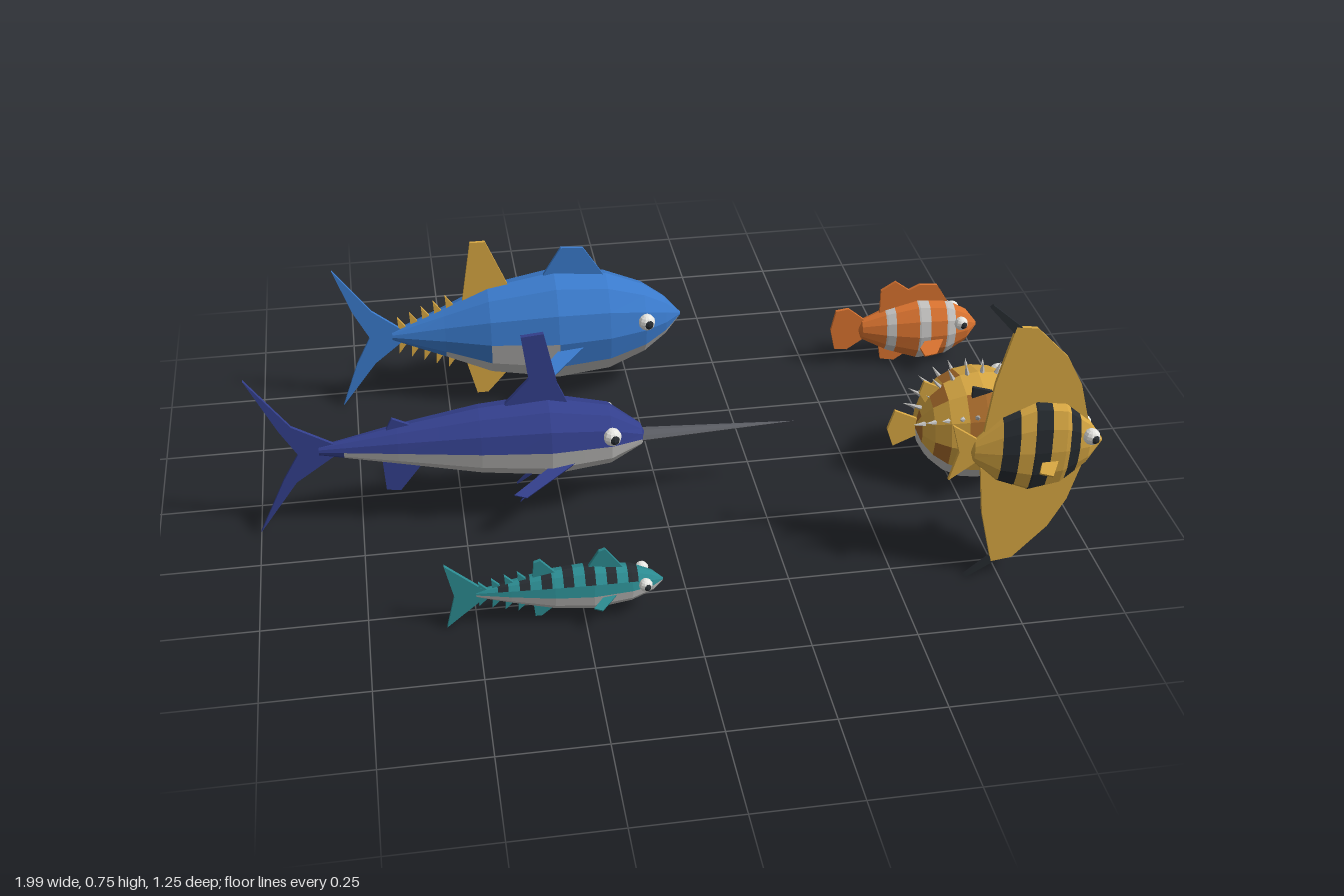
import * as THREE from 'three';

const mat = (name, color) => Object.assign(new THREE.MeshStandardMaterial({ color, flatShading: true }), { name });
const C = {
  navy: mat('navy', 0x333f8c), blue: mat('blue', 0x3a7acb), teal: mat('teal', 0x2b8a90),
  gold: mat('gold', 0xd6a642), orange: mat('orange', 0xd8722f), silver: mat('silver', 0xbfbebc),
  white: mat('white', 0xeeeeea), dark: mat('dark', 0x262b30), brown: mat('brown', 0xa4682a),
  steel: mat('steel', 0x5c5e64),
};
const SIDES = 12;

// Profile rows are [x, centreY, halfHeight, halfWidth]
function section(prof, x) {
  let i = 0;
  while (i < prof.length - 2 && prof[i + 1][0] < x) i++;
  const a = prof[i], b = prof[i + 1], t = (x - a[0]) / (b[0] - a[0]);
  return a.map((v, k) => v + (b[k] - v) * t);
}

// Faceted body; colourOf(x, elevation, i, j) picks the material of each facet
function body(prof, colourOf, cuts = []) {
  const xs = [...new Set([...prof.map(p => p[0]), ...cuts])].sort((a, b) => a - b);
  const rings = xs.map(x => {
    const [, cy, ry, rz] = section(prof, x);
    return Array.from({ length: SIDES + 1 }, (_, j) => {
      const t = j / SIDES * Math.PI * 2;
      return [x, cy + ry * Math.sin(t), rz * Math.cos(t)];
    });
  });
  const bins = new Map();
  for (let i = 0; i < xs.length - 1; i++) for (let j = 0; j < SIDES; j++) {
    const elev = Math.asin(Math.sin((j + 0.5) / SIDES * Math.PI * 2)) * 180 / Math.PI;
    const m = colourOf((xs[i] + xs[i + 1]) / 2, elev, i, j);
    if (!bins.has(m)) bins.set(m, []);
    const a = rings[i][j], b = rings[i + 1][j], c = rings[i + 1][j + 1], d = rings[i][j + 1];
    bins.get(m).push(...a, ...b, ...c, ...a, ...c, ...d);
  }
  const geo = new THREE.BufferGeometry(), all = [];
  [...bins.values()].forEach((v, k) => {
    geo.addGroup(all.length / 3, v.length / 3, k);
    for (const n of v) all.push(n);
  });
  geo.setAttribute('position', new THREE.Float32BufferAttribute(all, 3));
  geo.computeVertexNormals();
  const mesh = new THREE.Mesh(geo, [...bins.keys()]);
  mesh.name = 'body';
  return mesh;
}

// Thin plate from an outline in the x-y plane
function fin(name, pts, m, depth = 0.009) {
  const geo = new THREE.ExtrudeGeometry(new THREE.Shape(pts.map(p => new THREE.Vector2(...p))), { depth, bevelEnabled: false });
  geo.translate(0, 0, -depth / 2);
  const mesh = new THREE.Mesh(geo, m);
  mesh.name = name;
  return mesh;
}

// Mirrored side fins; the outline is [x, distance outward], tilted from upright
function sideFins(pts, y, z, tilt, m) {
  return [1, -1].map(s => {
    const f = fin('sideFin', pts, m, 0.008);
    f.rotation.x = s * tilt * Math.PI / 180;
    f.position.set(0, y, s * z);
    return f;
  });
}

function eyes(x, y, z, r) {
  return [1, -1].map(s => {
    const g = new THREE.Group();
    g.name = 'eye';
    const ball = new THREE.Mesh(new THREE.SphereGeometry(r, 10, 8), C.white);
    ball.name = 'eyeball';
    const pupil = new THREE.Mesh(new THREE.SphereGeometry(r * 0.6, 8, 6), C.dark);
    pupil.name = 'pupil';
    pupil.position.set(r * 0.15, 0, s * r * 0.55);
    g.add(ball, pupil);
    g.position.set(x, y, s * z);
    return g;
  });
}

// Row of small triangles on the back and underside
function finlets(prof, x0, x1, n, h, m, sides = [1, -1]) {
  return sides.flatMap(s => Array.from({ length: n }, (_, k) => {
    const x = x0 + (x1 - x0) * k / (n - 1), [, cy, ry] = section(prof, x);
    const y = cy + s * (ry - 0.008);
    return fin('finlet', [[x + 0.014, y], [x - 0.014, y + s * (h + 0.008)], [x - 0.012, y]], m, 0.008);
  }));
}

function fish(name, z, ...parts) {
  const g = new THREE.Group();
  g.name = name;
  g.add(...parts.flat());
  g.position.z = z;
  return g;
}

function tuna() {
  const p = [[-0.64, 0.21, 0.012, 0.012], [-0.5, 0.21, 0.072, 0.054], [-0.38, 0.21, 0.125, 0.095], [-0.2, 0.21, 0.157, 0.12],
    [-0.06, 0.21, 0.142, 0.108], [0.04, 0.21, 0.1, 0.08], [0.1, 0.21, 0.055, 0.045], [0.144, 0.21, 0.004, 0.004]];
  const belly = (x, e) => (x > -0.52 && e < -30) || (x > -0.38 && x < -0.2 && e < 0) ? C.silver : C.blue;
  return fish('tuna', -0.435, body(p, belly, [-0.57, -0.44, -0.29, -0.13]),
    fin('tail', [[-0.61, 0.225], [-0.69, 0.29], [-0.785, 0.42], [-0.74, 0.29], [-0.7, 0.21], [-0.74, 0.13], [-0.785, 0.005], [-0.69, 0.13], [-0.61, 0.195]], C.blue),
    fin('dorsalFin', [[-0.06, 0.34], [-0.12, 0.435], [-0.18, 0.44], [-0.23, 0.36], [-0.23, 0.34]], C.blue),
    fin('rearDorsalFin', [[-0.32, 0.33], [-0.38, 0.475], [-0.42, 0.475], [-0.45, 0.29], [-0.42, 0.29]], C.gold),
    fin('analFin', [[-0.32, 0.09], [-0.42, 0.13], [-0.45, 0.13], [-0.42, -0.0 + 0.01], [-0.39, 0.01]], C.gold),
    finlets(p, -0.48, -0.61, 5, 0.03, C.gold),
    sideFins([[-0.1, -0.02], [-0.17, -0.02], [-0.29, 0.1], [-0.26, 0.115]], 0.195, 0.1, 128, C.blue),
    eyes(0.04, 0.235, 0.078, 0.023));
}

function marlin() {
  const p = [[-0.84, 0.235, 0.012, 0.01], [-0.65, 0.235, 0.05, 0.045], [-0.45, 0.23, 0.088, 0.075], [-0.28, 0.225, 0.105, 0.088],
    [-0.13, 0.215, 0.08, 0.066], [-0.05, 0.203, 0.026, 0.028], [-0.04, 0.203, 0.002, 0.002]];
  const bill = new THREE.Mesh(new THREE.ConeGeometry(0.028, 0.4, 8).rotateZ(-Math.PI / 2), C.steel);
  bill.name = 'bill';
  bill.scale.y = 0.45;
  bill.position.set(0.14, 0.2, 0);
  return fish('marlin', 0.125, body(p, (x, e) => e < 0 && x > -0.78 ? C.silver : C.navy, [-0.78, -0.55, -0.37, -0.2]), bill,
    fin('tail', [[-0.8, 0.25], [-0.9, 0.31], [-1, 0.45], [-0.93, 0.3], [-0.89, 0.23], [-0.93, 0.16], [-1, 0.01], [-0.9, 0.15], [-0.8, 0.22]], C.navy),
    fin('dorsalFin', [[-0.23, 0.31], [-0.255, 0.37], [-0.285, 0.515], [-0.34, 0.51], [-0.325, 0.39], [-0.385, 0.325], [-0.385, 0.3]], C.navy, 0.012),
    fin('rearDorsalFin', [[-0.6, 0.28], [-0.66, 0.31], [-0.68, 0.27]], C.navy),
    fin('analFin', [[-0.58, 0.19], [-0.65, 0.1], [-0.685, 0.105], [-0.69, 0.2]], C.navy),
    sideFins([[-0.2, -0.015], [-0.26, -0.015], [-0.38, 0.065], [-0.35, 0.075]], 0.175, 0.068, 130, C.navy),
    sideFins([[-0.27, 0], [-0.3, 0], [-0.36, 0.08]], 0.135, 0.02, 165, C.navy),
    eyes(-0.13, 0.24, 0.06, 0.023));
}

function mackerel() {
  const p = [[-0.5, 0.09, 0.008, 0.006], [-0.42, 0.088, 0.028, 0.023], [-0.32, 0.085, 0.05, 0.04], [-0.23, 0.083, 0.058, 0.046],
    [-0.14, 0.083, 0.046, 0.038], [-0.09, 0.082, 0.025, 0.022], [-0.065, 0.082, 0.003, 0.003]];
  const bars = [-0.45, -0.4, -0.35, -0.3, -0.25, -0.2, -0.15];
  const colour = (x, e) => e < 0 ? C.silver : e > 30 && bars.some(b => x > b && x < b + 0.024) ? C.dark : C.teal;
  return fish('mackerel', 0.555, body(p, colour, bars.flatMap(b => [b, b + 0.024])),
    fin('tail', [[-0.48, 0.1], [-0.57, 0.18], [-0.55, 0.09], [-0.57, 0.004], [-0.48, 0.08]], C.teal),
    fin('dorsalFin', [[-0.16, 0.13], [-0.2, 0.185], [-0.215, 0.18], [-0.245, 0.13]], C.teal),
    fin('rearDorsalFin', [[-0.31, 0.125], [-0.35, 0.17], [-0.365, 0.165], [-0.37, 0.11]], C.teal),
    fin('analFin', [[-0.31, 0.045], [-0.37, 0.06], [-0.365, 0.012], [-0.35, 0.012]], C.teal),
    finlets(p, -0.39, -0.48, 4, 0.02, C.teal),
    sideFins([[-0.17, -0.01], [-0.2, -0.01], [-0.235, 0.025], [-0.215, 0.032]], 0.075, 0.04, 125, C.teal),
    eyes(-0.11, 0.094, 0.033, 0.016));
}

function angelfish() {
  const cy = 0.365;
  const p = [[0.65, cy, 0.002, 0.002], [0.66, cy, 0.03, 0.012], [0.72, cy, 0.09, 0.03], [0.8, cy, 0.125, 0.038], [0.87, cy, 0.113, 0.038],
    [0.93, cy, 0.06, 0.028], [0.968, cy, 0.004, 0.004]];
  const bars = [[0.72, 0.76], [0.795, 0.835], [0.88, 0.905]];
  const colour = x => bars.some(([a, b]) => x > a && x < b) ? C.dark : C.gold;
  // Tall fins, mirrored above and below the body
  const tall = [1, -1].flatMap(s => {
    const flip = pts => pts.map(([x, y]) => [x, cy + s * y]);
    return [
      fin('tallFin', flip([[0.93, 0.05], [0.9, 0.16], [0.86, 0.235], [0.78, 0.318], [0.73, 0.325], [0.695, 0.18], [0.68, 0.05]]), C.gold),
      fin('finFilament', flip([[0.745, 0.322], [0.725, 0.31], [0.665, s > 0 ? 0.38 : 0.36], [0.672, s > 0 ? 0.386 : 0.365]]), C.dark),
    ];
  });
  return fish('angelfish', 0.555, body(p, colour, bars.flat()), tall,
    fin('tail', [[0.675, 0.39], [0.605, 0.44], [0.625, 0.365], [0.605, 0.29], [0.675, 0.34]], C.gold),
    fin('darkFinlet', [[0.69, 0.525], [0.643, 0.54], [0.643, 0.512]], C.dark),
    sideFins([[0.86, -0.01], [0.82, -0.01], [0.805, 0.025], [0.835, 0.035]], 0.335, 0.034, 125, C.gold),
    eyes(0.93, 0.395, 0.03, 0.02));
}

function puffer() {
  const cx = 0.81, cy = 0.152, rx = 0.155, ry = 0.148, rz = 0.136, n = 10;
  const p = Array.from({ length: n + 1 }, (_, i) => {
    const t = Math.PI * (0.01 + 0.98 * i / n), s = Math.sin(t);
    return [cx - rx * Math.cos(t), cy, ry * s, rz * s];
  });
  const colour = (x, e, i, j) => e < -20 ? C.silver : (i * 7 + j * 5 + i * j * 3) % 9 < 2 ? C.brown : C.gold;
  // Spines along the back and both flanks
  const spines = [90, 35, 145].flatMap(deg => Array.from({ length: 10 }, (_, k) => {
    const t = Math.PI * (0.12 + 0.72 * k / 9), a = deg * Math.PI / 180;
    const dir = new THREE.Vector3(-Math.cos(t), Math.sin(t) * Math.sin(a), Math.sin(t) * Math.cos(a));
    const cone = new THREE.Mesh(new THREE.ConeGeometry(0.008, 0.045, 5), C.silver);
    cone.name = 'spine';
    cone.position.set(cx + dir.x * (rx + 0.012), cy + dir.y * (ry + 0.012), dir.z * (rz + 0.015));
    cone.quaternion.setFromUnitVectors(new THREE.Vector3(0, 1, 0), dir);
    return cone;
  }));
  const mouth = new THREE.Mesh(new THREE.CylinderGeometry(0.016, 0.022, 0.03, 10).rotateZ(-Math.PI / 2), C.orange);
  mouth.name = 'mouth';
  mouth.position.set(0.963, 0.145, 0);
  return fish('pufferfish', 0.125, body(p, colour), spines, mouth,
    fin('tail', [[0.67, 0.17], [0.6, 0.205], [0.583, 0.15], [0.6, 0.1], [0.67, 0.13]], C.gold),
    fin('dorsalFin', [[0.72, 0.26], [0.67, 0.285], [0.66, 0.25], [0.69, 0.2]], C.gold),
    sideFins([[0.84, -0.01], [0.79, -0.01], [0.765, 0.03], [0.8, 0.045]], 0.155, 0.125, 120, C.gold),
    eyes(0.9, 0.228, 0.092, 0.028));
}

function clownfish() {
  const p = [[0.65, 0.11, 0.002, 0.002], [0.66, 0.11, 0.03, 0.02], [0.73, 0.105, 0.065, 0.041], [0.82, 0.1, 0.093, 0.058], [0.9, 0.1, 0.084, 0.055],
    [0.96, 0.1, 0.048, 0.036], [0.992, 0.1, 0.006, 0.006]];
  const bands = [[0.725, 0.752], [0.815, 0.848], [0.895, 0.922]];
  const colour = x => bands.some(([a, b]) => x > a && x < b) ? C.silver : C.orange;
  return fish('clownfish', -0.435, body(p, colour, bands.flat()),
    fin('tail', [[0.68, 0.13], [0.62, 0.18], [0.585, 0.175], [0.572, 0.115], [0.585, 0.055], [0.62, 0.05], [0.68, 0.09]], C.orange),
    fin('dorsalFin', [[0.91, 0.17], [0.87, 0.235], [0.82, 0.24], [0.79, 0.225], [0.75, 0.255], [0.71, 0.23], [0.71, 0.15]], C.orange),
    fin('analFin', [[0.8, 0.03], [0.74, 0.06], [0.71, 0.07], [0.72, 0.01], [0.76, 0.003]], C.orange),
    sideFins([[0.89, -0.01], [0.84, -0.01], [0.815, 0.02], [0.825, 0.045], [0.86, 0.04]], 0.085, 0.052, 130, C.orange),
    eyes(0.935, 0.13, 0.046, 0.019));
}

export function createModel() {
  const group = new THREE.Group();
  group.name = 'fishCollection';
  group.add(tuna(), marlin(), mackerel(), angelfish(), puffer(), clownfish());
  return group;
}
